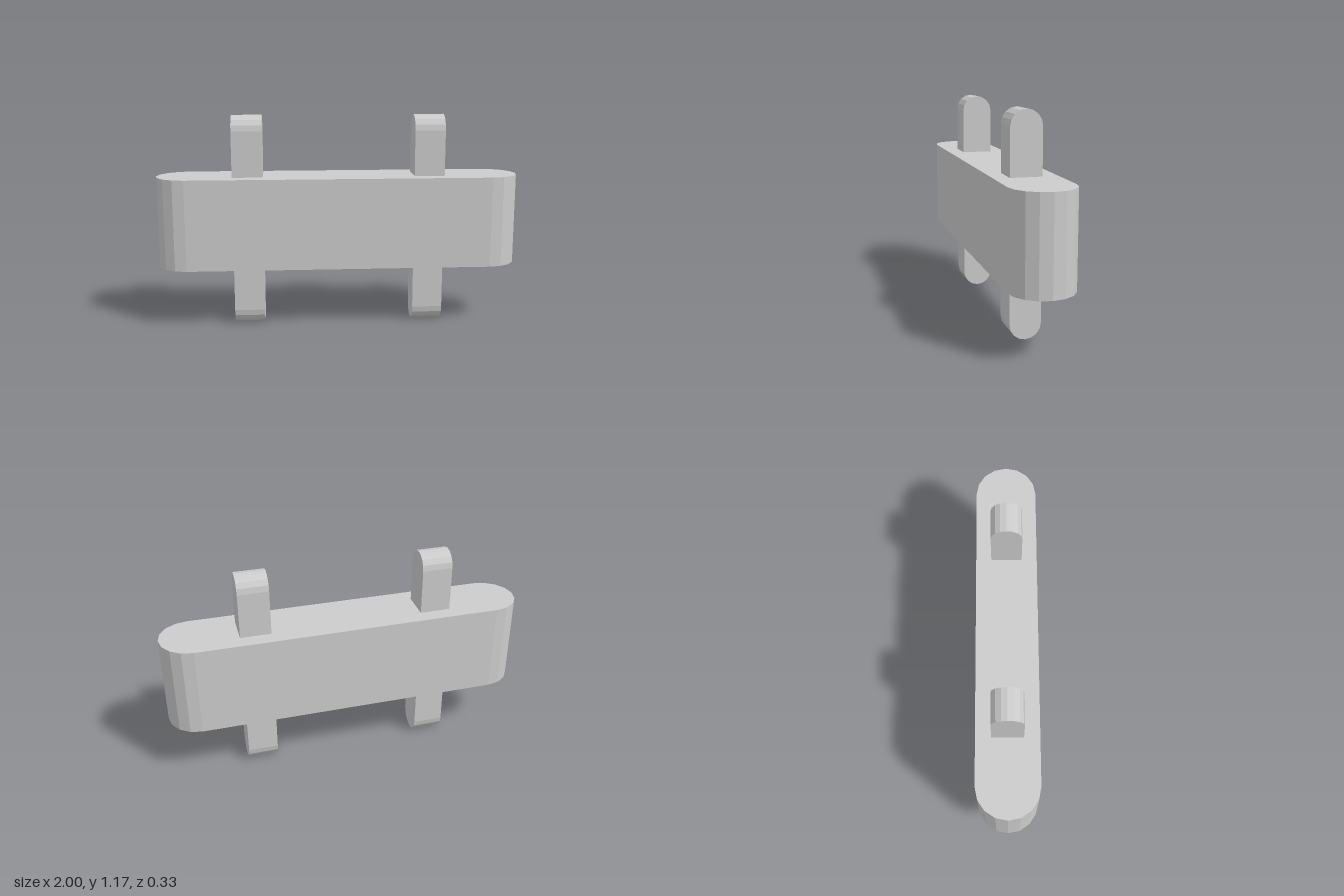
import * as THREE from 'three';

const ARC_STEPS = 8; // facets per rounded end

// Centred slot-shaped prism: length along x, width along y, thickness along z
function slotGeometry(length, width, thickness) {
  const r = width / 2;
  const straight = length / 2 - r;
  const shape = new THREE.Shape();
  shape.absarc(straight, 0, r, -Math.PI / 2, Math.PI / 2, false);
  shape.absarc(-straight, 0, r, Math.PI / 2, Math.PI * 1.5, false);
  const geometry = new THREE.ExtrudeGeometry(shape, {
    depth: thickness,
    bevelEnabled: false,
    curveSegments: ARC_STEPS / 2, // arcs are sampled at twice this number
  });
  return geometry.translate(0, 0, -thickness / 2);
}

export function createModel() {
  const group = new THREE.Group();
  group.name = 'pinnedLink';
  const material = new THREE.MeshStandardMaterial({ color: 0xcccccc, flatShading: true });

  const width = 1 / 3;
  const pinWidth = width / 2;
  const pinHeight = 3.5 * width;
  const middle = pinHeight / 2;

  // Long body with rounded ends, extruded upward
  const body = new THREE.Mesh(slotGeometry(2, width, 0.5).rotateX(-Math.PI / 2), material);
  body.name = 'body';
  body.position.y = middle;
  group.add(body);

  // Two upright pins through the body, rounded at top and bottom
  const pinGeometry = slotGeometry(pinHeight, pinWidth, pinWidth)
    .rotateZ(Math.PI / 2)
    .rotateY(Math.PI / 2);
  for (const [name, x] of [['leftPin', 0.5], ['rightPin', -0.5]]) {
    const pin = new THREE.Mesh(pinGeometry, material);
    pin.name = name;
    pin.position.set(x, middle, 0);
    group.add(pin);
  }

  return group;
}
